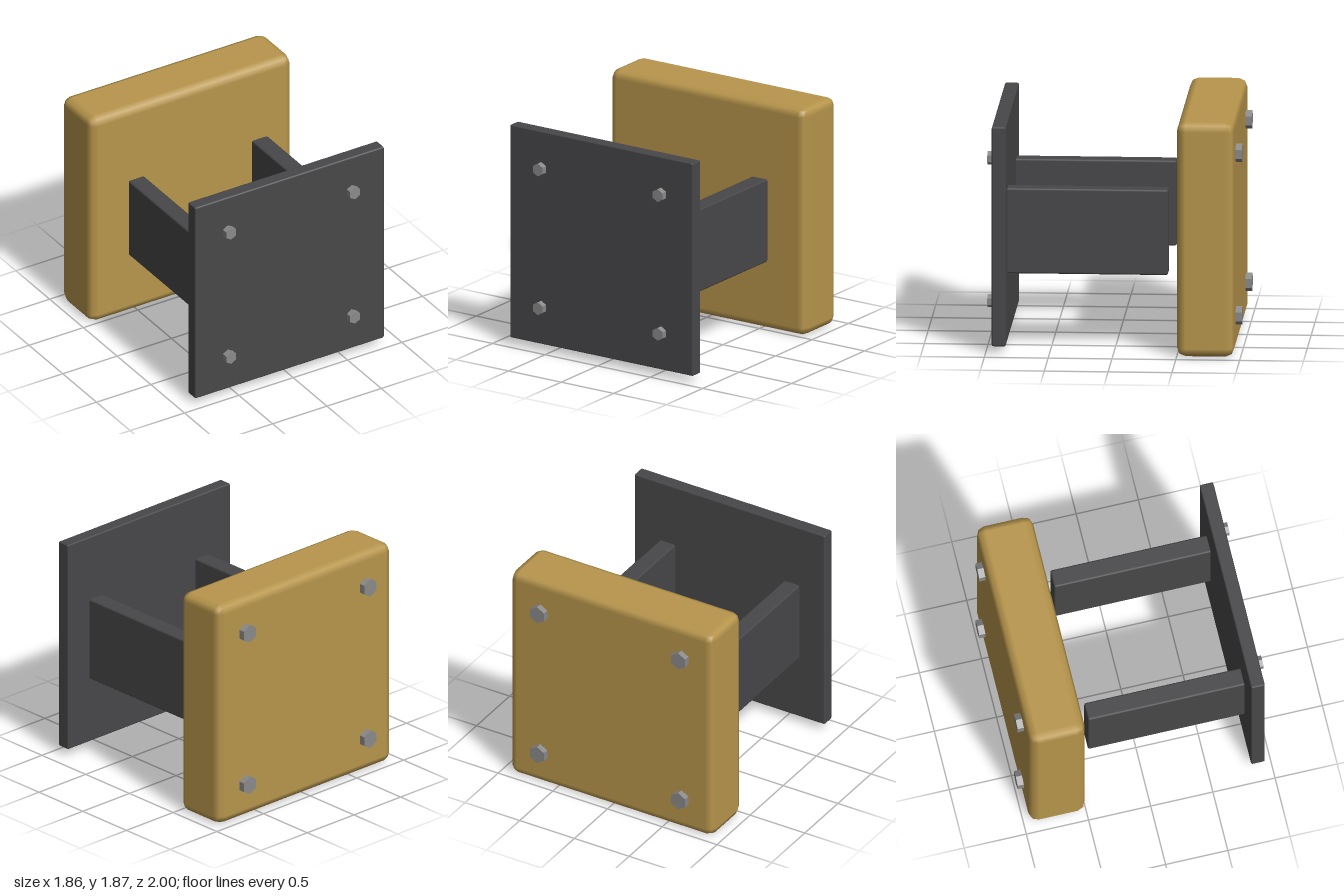
import * as THREE from 'three';
import { RoundedBoxGeometry } from 'three/addons/geometries/RoundedBoxGeometry.js';

const darkMetal = new THREE.MeshStandardMaterial({ color: 0x48484a });
const brass = new THREE.MeshStandardMaterial({ color: 0xb8964c });
const steel = new THREE.MeshStandardMaterial({ color: 0x8a8a8a, flatShading: true });

// Bevelled box spanning two opposite corners
function bevelBox(name, min, max, bevel, material) {
  const size = max.map((v, i) => v - min[i]);
  const mesh = new THREE.Mesh(new RoundedBoxGeometry(...size, 1, bevel), material);
  mesh.name = name;
  mesh.position.set(...max.map((v, i) => (v + min[i]) / 2));
  return mesh;
}

// Four hexagonal bolt heads at the corners of a rectangle
function boltSet(name, radius, x, yLow, yHigh, z) {
  const set = new THREE.Group();
  set.name = name;
  const geometry = new THREE.CylinderGeometry(radius, radius, 0.08, 6).rotateX(Math.PI / 2);
  for (const side of [-1, 1]) {
    for (const y of [yLow, yHigh]) {
      const bolt = new THREE.Mesh(geometry, steel);
      bolt.name = 'hexBolt';
      bolt.position.set(side * x, y, z);
      set.add(bolt);
    }
  }
  return set;
}

export function createModel() {
  const model = new THREE.Group();
  model.name = 'mountedBlock';

  // Thick padded block at the back
  model.add(bevelBox('backBlock', [-0.93, 0, -0.95], [0.93, 1.87, -0.5], 0.07, brass));

  // Thin plate at the front
  model.add(bevelBox('frontPlate', [-0.87, 0.06, 0.84], [0.87, 1.81, 0.95], 0.012, darkMetal));

  // Pair of arms reaching from the plate towards the block
  for (const side of [-1, 1]) {
    const x = side * 0.568;
    model.add(bevelBox(side > 0 ? 'leftArm' : 'rightArm',
      [x - 0.073, 0.597, -0.417], [x + 0.073, 1.277, 0.88], 0.015, darkMetal));
  }

  // Bolt heads on the outer faces
  model.add(boltSet('frontBolts', 0.053, 0.57, 0.365, 1.505, 0.96));
  model.add(boltSet('backBolts', 0.074, 0.645, 0.286, 1.584, -0.96));

  return model;
}
